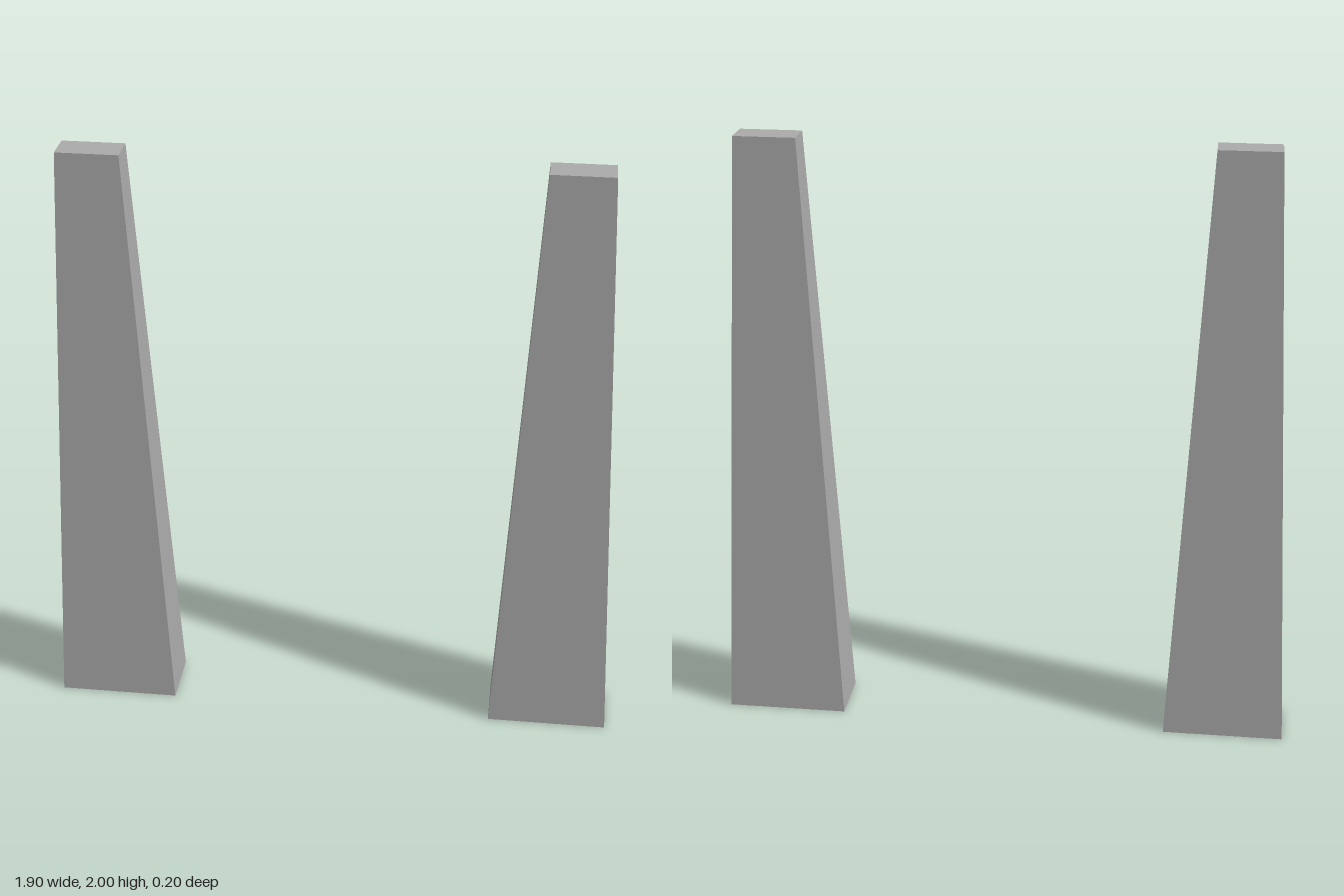
import * as THREE from 'three';

const HEIGHT = 2;
const TOP_SCALE = 0.5; // top section relative to the base

// Box standing on y = 0 whose upper corners are drawn in towards its axis
function taperedPillar(width, height, depth, topScale) {
  const geometry = new THREE.BoxGeometry(width, height, depth);
  geometry.translate(0, height / 2, 0);
  const p = geometry.attributes.position;
  for (let i = 0; i < p.count; i++) {
    const s = THREE.MathUtils.lerp(1, topScale, p.getY(i) / height);
    p.setXYZ(i, p.getX(i) * s, p.getY(i), p.getZ(i) * s);
  }
  geometry.computeVertexNormals();
  return geometry;
}

export function createModel() {
  const model = new THREE.Group();
  model.name = 'pillarPair';

  const stone = new THREE.MeshStandardMaterial({ color: 0xaaaaaa });
  stone.name = 'grey stone';

  // Matching pillars on either side
  const geometry = taperedPillar(0.4, HEIGHT, 0.2, TOP_SCALE);
  for (const [name, x] of [['leftPillar', 0.75], ['rightPillar', -0.75]]) {
    const pillar = new THREE.Mesh(geometry, stone);
    pillar.name = name;
    pillar.position.x = x;
    model.add(pillar);
  }
  return model;
}
